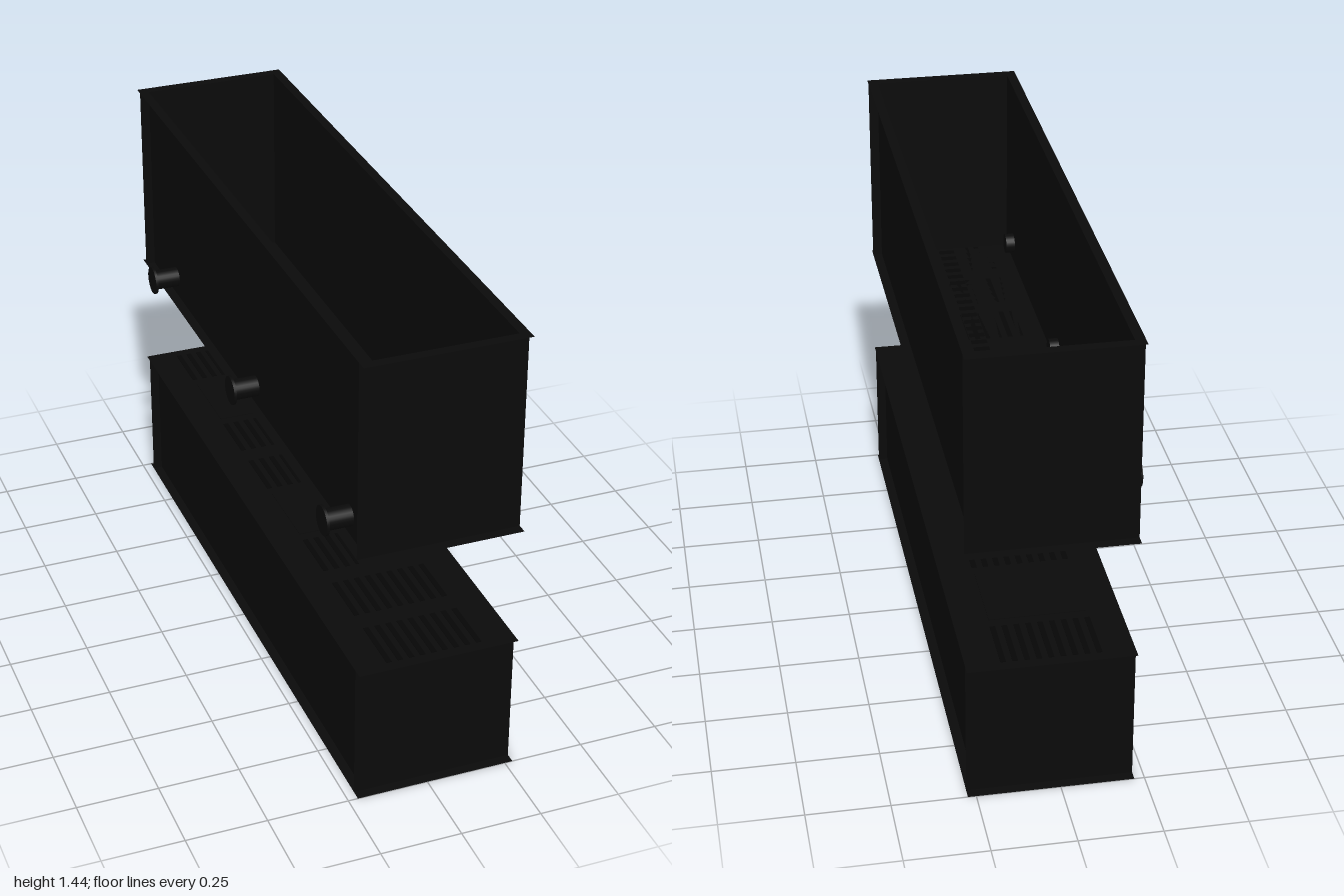
import * as THREE from 'three';

export function createModel() {
  const root = new THREE.Group();
  const shell = new THREE.MeshStandardMaterial({ color: 0x0a0a0a });
  shell.name = 'matte black';
  const sheet = new THREE.MeshStandardMaterial({ color: 0x0a0a0a, side: THREE.DoubleSide });
  sheet.name = 'black sheet';
  const trim = new THREE.MeshStandardMaterial({ color: 0x060606 });
  trim.name = 'deep black trim';

  const CX = 0.0275;          // middle of the cases in x
  const W = 0.495, LEN = 2;   // outer size of the horizontal sheets
  const IN = 0.435;           // distance between the recessed side walls
  const WALL = 1.936;         // distance between the end walls

  function box(parent, name, w, h, d, x, y, z, mat = shell) {
    const m = new THREE.Mesh(new THREE.BoxGeometry(w, h, d), mat);
    m.position.set(x, y, z);
    m.name = name;
    parent.add(m);
  }

  // Horizontal sheet, optionally cut out to a narrow rim
  function addSheet(parent, name, y, open) {
    const rect = (w, l, P) => new P([
      new THREE.Vector2(-w / 2, -l / 2), new THREE.Vector2(w / 2, -l / 2),
      new THREE.Vector2(w / 2, l / 2), new THREE.Vector2(-w / 2, l / 2),
    ]);
    const s = rect(W, LEN, THREE.Shape);
    if (open) s.holes.push(rect(IN, WALL, THREE.Path));
    const m = new THREE.Mesh(new THREE.ShapeGeometry(s), sheet);
    m.rotation.x = -Math.PI / 2;
    m.position.set(CX, y, 0);
    m.name = name;
    parent.add(m);
  }

  // Long case: recessed side walls, full-width ends, overhanging sheets
  function makeCase(name, y0, y1, openTop) {
    const g = new THREE.Group();
    g.name = name;
    const h = y1 - y0, mid = (y0 + y1) / 2;
    for (const s of [-1, 1]) {
      const side = new THREE.Mesh(new THREE.PlaneGeometry(WALL, h), sheet);
      side.rotation.y = s * Math.PI / 2;
      side.position.set(CX + s * IN / 2, mid, 0);
      side.name = 'sideWall';
      const end = new THREE.Mesh(new THREE.PlaneGeometry(W, h), sheet);
      end.rotation.y = s > 0 ? 0 : Math.PI;
      end.position.set(CX, mid, s * WALL / 2);
      end.name = 'endWall';
      g.add(side, end);
    }
    addSheet(g, 'bottomSheet', y0, false);
    addSheet(g, openTop ? 'topRim' : 'topSheet', y1, openTop);
    root.add(g);
    return g;
  }

  const lower = makeCase('lowerCase', 0, 0.438, false);
  const upper = makeCase('upperCase', 0.815, 1.438, true);

  // Grille of long slats broken by two flat panels
  function makeGrille(parent, y, dir, panelHeight) {
    const g = new THREE.Group();
    g.name = 'grille';
    for (let s = 0; s < 8; s++) {
      const z = -0.875 + s * 0.25;
      if (s === 1 || s === 4) {
        box(g, 'flatPanel', 0.29, panelHeight, 0.25, 0.025, y + dir * panelHeight / 2, z);
      } else {
        for (let i = 0; i < 9; i++) {
          box(g, 'slat', 0.016, 0.002, 0.18, -0.115 + i * 0.035, y + dir * 0.001, z, trim);
        }
      }
    }
    parent.add(g);
  }
  makeGrille(upper, 0.815, -1, 0.006);
  makeGrille(lower, 0.438, 1, 0.002);

  // Ladder of small crossbars along the floor inside the open upper case
  for (let i = 0; i < 40; i++) {
    box(upper, 'floorCrossbar', 0.05, 0.003, 0.02, 0.025, 0.8165, -0.936 + i * 0.048, trim);
  }

  // Flanged knobs passing through one side of the upper case
  for (const z of [-0.72, 0.06, 0.84]) {
    const knob = new THREE.Group();
    knob.name = 'knob';
    for (const [name, r, len, x] of [['stem', 0.032, 0.11, -0.216], ['flange', 0.045, 0.008, -0.271]]) {
      const m = new THREE.Mesh(new THREE.CylinderGeometry(r, r, len, 24), shell);
      m.rotation.z = Math.PI / 2;
      m.position.x = x;
      m.name = name;
      knob.add(m);
    }
    knob.position.set(0, 0.88, z);
    root.add(knob);
  }
  return root;
}
